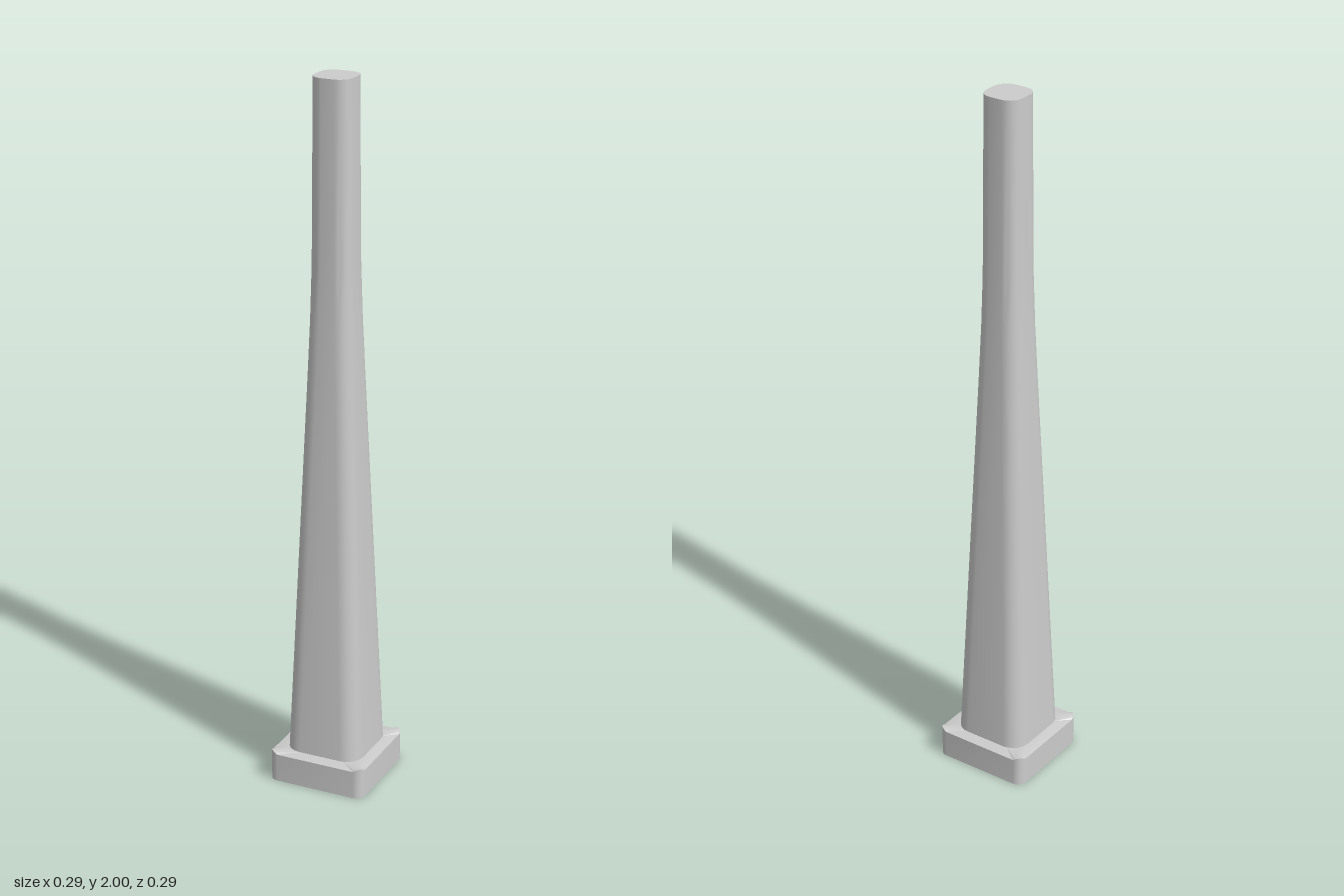
import * as THREE from 'three';
import { toCreasedNormals } from 'three/addons/utils/BufferGeometryUtils.js';

const STEPS = 6; // segments in each rounded corner

// Rounded square at height y; lift raises the middle of each corner.
function ring({ y, half, radius, lift = 0 }) {
  const points = [];
  for (let corner = 0; corner < 4; corner++) {
    const mid = (corner + 0.5) * Math.PI / 2;
    const cx = Math.sign(Math.cos(mid)) * (half - radius);
    const cz = -Math.sign(Math.sin(mid)) * (half - radius);
    for (let s = 0; s <= STEPS; s++) {
      const a = (corner + s / STEPS) * Math.PI / 2;
      points.push([
        cx + radius * Math.cos(a),
        y + lift * Math.sin(Math.PI * s / STEPS),
        cz - radius * Math.sin(a),
      ]);
    }
  }
  return points;
}

// Skin a stack of rings from bottom to top and close both ends.
function loft(sections) {
  const n = 4 * (STEPS + 1);
  const positions = sections.flatMap((s) => ring(s).flat());
  const index = [];
  for (let i = 0; i < sections.length - 1; i++) {
    for (let j = 0; j < n; j++) {
      const a = i * n + j, b = i * n + (j + 1) % n;
      index.push(a, b, b + n, a, b + n, a + n);
    }
  }
  const bottom = sections.length * n, top = bottom + 1;
  positions.push(0, sections[0].y, 0, 0, sections.at(-1).y, 0);
  const last = (sections.length - 1) * n;
  for (let j = 0; j < n; j++) {
    const k = (j + 1) % n;
    index.push(bottom, k, j, top, last + j, last + k);
  }
  const geometry = new THREE.BufferGeometry();
  geometry.setAttribute('position', new THREE.Float32BufferAttribute(positions, 3));
  geometry.setIndex(index);
  return toCreasedNormals(geometry, Math.PI / 6);
}

export function createModel() {
  const group = new THREE.Group();
  group.name = 'taperedPost';
  const material = new THREE.MeshStandardMaterial({ color: 0xcccccc });
  const add = (name, sections) => {
    const mesh = new THREE.Mesh(loft(sections), material);
    mesh.name = name;
    group.add(mesh);
  };

  // Square plinth with softly raised top corners
  add('base', [
    { y: 0, half: 0.143, radius: 0.026 },
    { y: 0.082, half: 0.143, radius: 0.026, lift: 0.008 },
    { y: 0.088, half: 0.112, radius: 0.05 },
  ]);

  // Shaft tapering strongly at first, then almost straight to the top
  add('shaft', [
    { y: 0.086, half: 0.112, radius: 0.05 },
    { y: 1.2, half: 0.068, radius: 0.041 },
    { y: 1.35, half: 0.0625, radius: 0.04 },
    { y: 1.5, half: 0.0585, radius: 0.038 },
    { y: 2, half: 0.055, radius: 0.037 },
  ]);

  return group;
}
